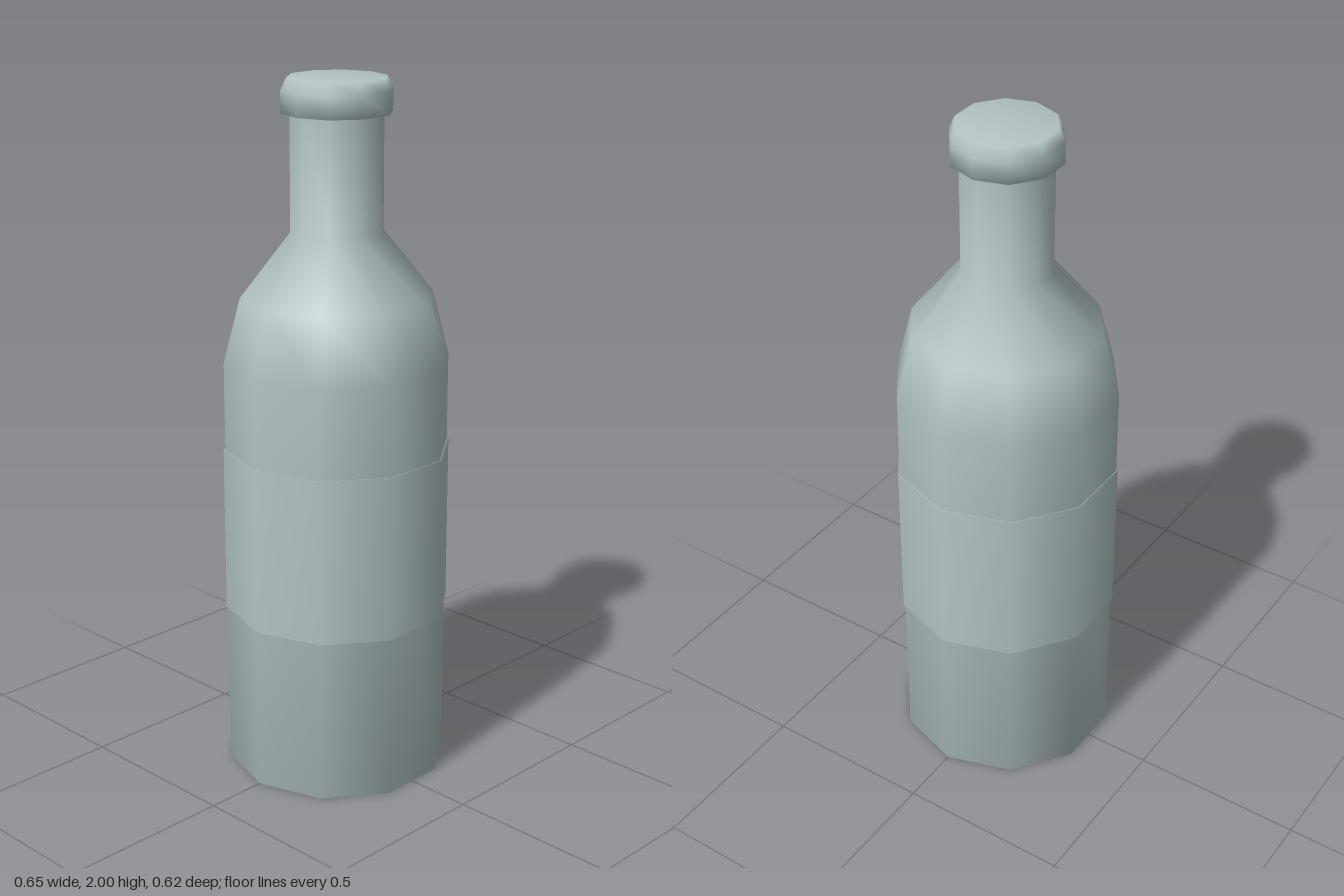
import * as THREE from 'three';

const SIDES = 10;

export function createModel() {
  const group = new THREE.Group();
  group.name = 'bottle';

  const glass = new THREE.MeshStandardMaterial({ color: 0xb3c4c4 });
  glass.name = 'pale grey glass';

  // Ten-sided smooth turned part; profile runs from bottom to top as [radius, height]
  function turned(name, profile) {
    const points = profile.map(([r, y]) => new THREE.Vector2(r, y));
    const geometry = new THREE.LatheGeometry(points, SIDES, Math.PI / 2);
    const mesh = new THREE.Mesh(geometry, glass);
    mesh.name = name;
    group.add(mesh);
  }

  // Body with sloping shoulder and straight neck
  turned('body', [
    [0, 0], [0.32, 0], [0.32, 1.215], [0.272, 1.4], [0.13, 1.58], [0.13, 1.93],
  ]);

  // Raised label band around the middle
  turned('labelBand', [[0.318, 0.48], [0.325, 0.48], [0.325, 0.96], [0.318, 0.96]]);

  // Cap with a bevelled top edge
  turned('cap', [[0.12, 1.905], [0.154, 1.905], [0.154, 1.965], [0.138, 2], [0, 2]]);

  return group;
}
